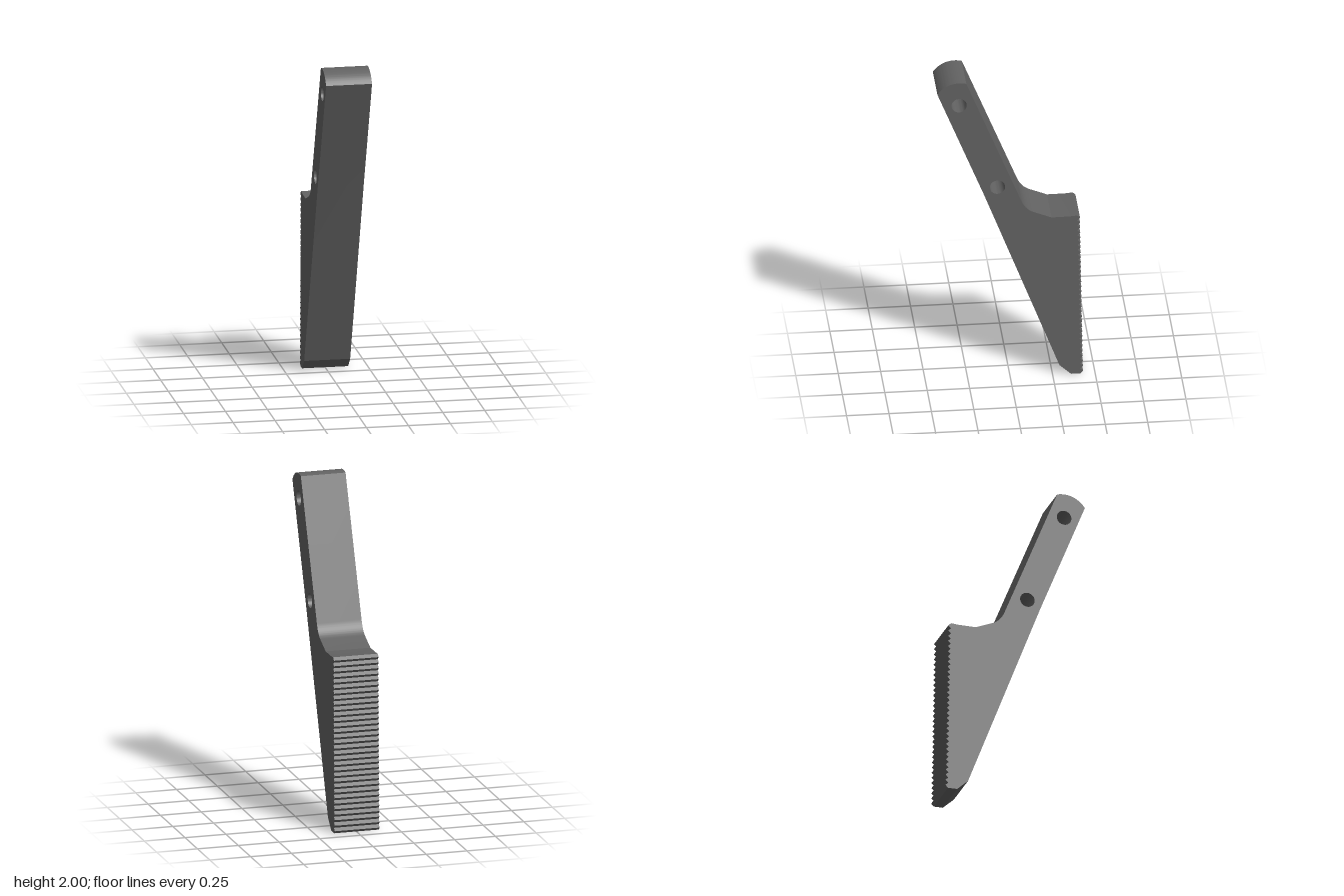
import * as THREE from 'three';
import { toCreasedNormals } from 'three/addons/utils/BufferGeometryUtils.js';

const WIDTH = 0.274;
const TEETH = 32;
const HOLES = [[0.301, 1.849], [0.075, 1.286]];

// Side profile, drawn as (z, y)
function sideProfile() {
  const shape = new THREE.Shape();
  const [cz, cy] = HOLES[0];

  // Rounded arm tip, concentric with the upper hole
  shape.moveTo(0.43, 1.93);
  shape.absarc(cz, cy, 0.151, Math.atan2(1.93 - cy, 0.43 - cz), Math.atan2(1.995 - cy, 0.258 - cz), false);

  // Back of the arm, fillet and shoulder
  shape.lineTo(-0.064, 1.19);
  shape.quadraticCurveTo(-0.087, 1.127, -0.14, 1.105);
  shape.lineTo(-0.244, 1.063);
  shape.lineTo(-0.35, 1.064);
  shape.lineTo(-0.395, 1.068);

  // Row of grip teeth, leaning slightly backwards towards the foot
  const pitch = 1.068 / TEETH;
  for (let i = 0; i < TEETH; i++) {
    const top = 1.068 - i * pitch;
    const z = -0.395 - 0.018 * (i / (TEETH - 1));
    shape.lineTo(z - 0.017, top - pitch / 2);
    shape.lineTo(z - 0.0005, top - pitch);
  }

  // Foot, chamfer and front edge
  shape.lineTo(-0.358, 0);
  shape.lineTo(-0.29, 0.063);
  shape.lineTo(0.153, 1.235);
  shape.closePath();

  // Pin holes through the arm
  for (const [z, y] of HOLES) {
    const hole = new THREE.Path();
    hole.absarc(z, y, 0.045, 0, Math.PI * 2, true);
    shape.holes.push(hole);
  }
  return shape;
}

export function createModel() {
  const group = new THREE.Group();
  group.name = 'serratedJaw';

  const geometry = new THREE.ExtrudeGeometry(sideProfile(), {
    depth: WIDTH, bevelEnabled: false, curveSegments: 20,
  });
  geometry.translate(0, 0, -WIDTH / 2);
  geometry.rotateY(-Math.PI / 2);

  // Dark grey body
  const body = new THREE.Mesh(
    toCreasedNormals(geometry, 0.35),
    new THREE.MeshStandardMaterial({ color: 0x626262 }),
  );
  body.name = 'jawBody';
  group.add(body);
  return group;
}
